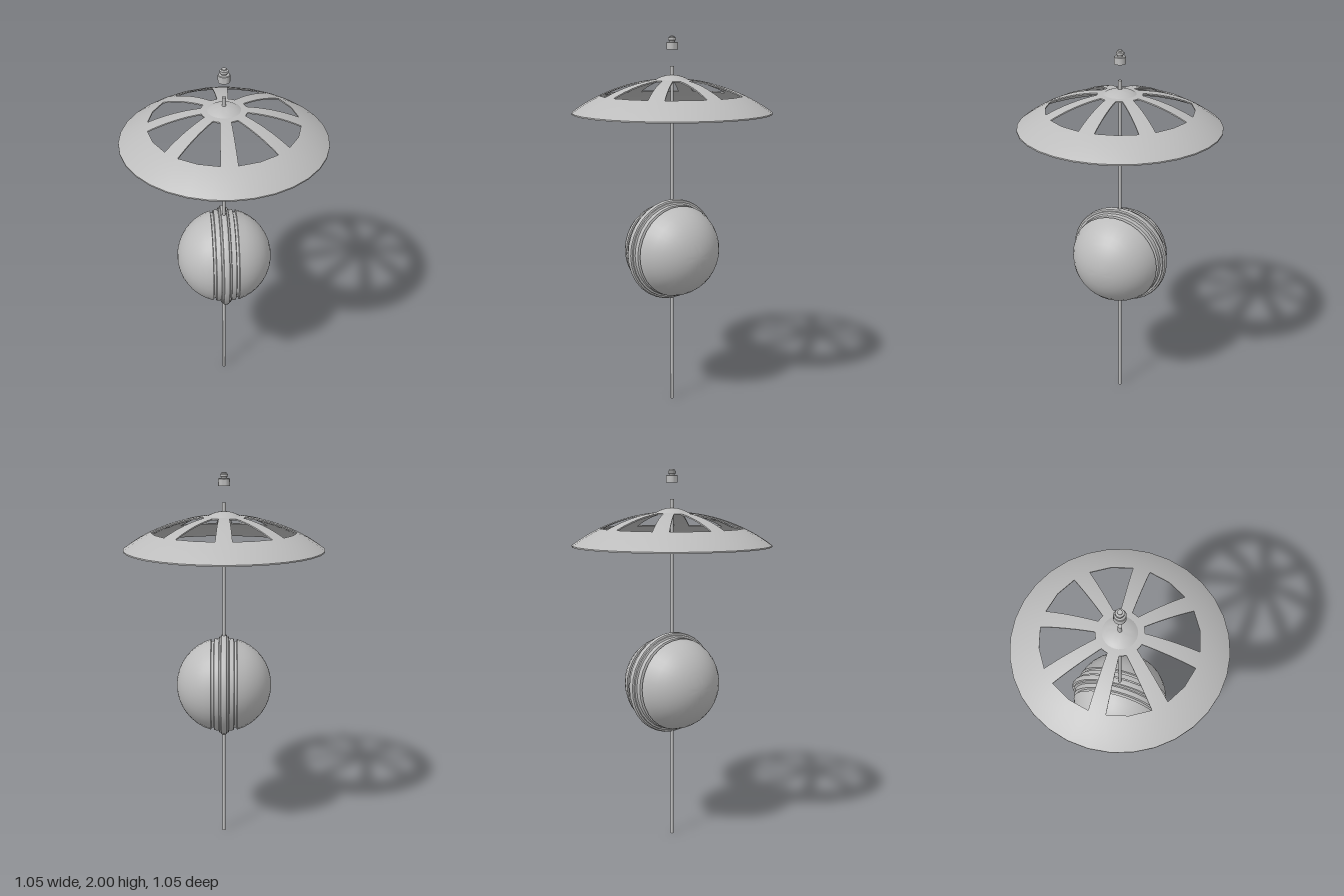
import * as THREE from 'three';
import { toCreasedNormals } from 'three/addons/utils/BufferGeometryUtils.js';

const APEX = 1.78, DOME_R = 0.889, THICK = 0.007;
const WINDOW_IN = 0.116, WINDOW_OUT = 0.38, RIM = 0.527;

// Height of the shallow spherical canopy at radius r
const domeY = (r) => APEX - DOME_R + Math.sqrt(DOME_R * DOME_R - r * r);

// Half angle of a spoke, which widens slightly towards the rim
const spokeAngle = (r) => Math.asin((0.028 + (r - WINDOW_IN) * 0.053) / r);

// Bends a box into a curved canopy panel: x runs around, z outward, y through the shell
function canopyPanel(angleSegs, radiusSegs, r0, r1, angleAt) {
  const geo = new THREE.BoxGeometry(1, 1, 1, angleSegs, 1, radiusSegs);
  const pos = geo.attributes.position;
  const facing = Array.from({ length: pos.count }, (_, i) => geo.attributes.normal.getY(i));
  for (let i = 0; i < pos.count; i++) {
    const r = r0 + (r1 - r0) * (pos.getZ(i) + 0.5);
    const a = angleAt(pos.getX(i) + 0.5, r);
    const y = domeY(r) + (pos.getY(i) - 0.5) * THICK;
    pos.setXYZ(i, r * Math.sin(a), y, r * Math.cos(a));
  }
  geo.computeVertexNormals();
  // Exact dome normals keep the seams between panels invisible
  const n = new THREE.Vector3();
  for (let i = 0; i < pos.count; i++) {
    if (Math.abs(facing[i]) < 0.5) continue;
    n.set(pos.getX(i), domeY(Math.hypot(pos.getX(i), pos.getZ(i))) - APEX + DOME_R, pos.getZ(i));
    n.normalize().multiplyScalar(Math.sign(facing[i]));
    geo.attributes.normal.setXYZ(i, n.x, n.y, n.z);
  }
  return geo;
}

// Turned part from [radius, height] pairs listed from bottom to top
function turned(profile, segments = 32) {
  const pts = profile.map(([r, y]) => new THREE.Vector2(r, y));
  return toCreasedNormals(new THREE.LatheGeometry(pts, segments), 0.6);
}

export function createModel() {
  const model = new THREE.Group();
  model.name = 'lamp';
  const metal = new THREE.MeshStandardMaterial({ color: 0xbcbcbc });
  metal.name = 'grey metal';

  const add = (name, geo, parent = model) => {
    const mesh = new THREE.Mesh(geo, metal);
    mesh.name = name;
    parent.add(mesh);
    return mesh;
  };

  // Canopy: rim and hub joined by eight spokes
  const canopy = new THREE.Group();
  canopy.name = 'canopy';
  model.add(canopy);
  const eighth = Math.PI / 4;
  // Ring vertices slide so that an edge loop meets every spoke side
  const ringAngle = (edge) => (u, r) => {
    const k = Math.round(u * 32), base = Math.floor(k / 4) * eighth;
    const even = (k % 4) * eighth / 4;
    const s = spokeAngle(edge);
    const fitted = [0, s, eighth / 2, eighth - s][k % 4];
    const t = edge === WINDOW_OUT ? (r - edge) / (RIM - edge) : 0;
    return base + fitted + (even - fitted) * t;
  };
  add('rim', canopyPanel(32, 4, WINDOW_OUT, RIM, ringAngle(WINDOW_OUT)), canopy);
  add('hub', canopyPanel(32, 2, 0.005, WINDOW_IN, ringAngle(WINDOW_IN)), canopy);
  for (let i = 0; i < 8; i++) {
    const spoke = canopyPanel(2, 8, WINDOW_IN, WINDOW_OUT,
      (u, r) => i * eighth + (u * 2 - 1) * spokeAngle(r));
    add('spoke', spoke, canopy);
  }

  // Domed cap on the hub
  add('hubCap', turned([[0.085, 1.768], [0.085, 1.775], [0.07, 1.784], [0.05, 1.792],
    [0.025, 1.798], [0, 1.8]]));

  // Central rod and its thicker tip
  add('rod', new THREE.CylinderGeometry(0.008, 0.008, 1.8, 16).translate(0, 0.9, 0));
  add('rodTip', new THREE.CylinderGeometry(0.01, 0.01, 0.05, 16).translate(0, 1.82, 0));

  // Floating stepped finial
  add('finial', turned([[0, 1.93], [0.03, 1.93], [0.03, 1.965], [0.027, 1.968], [0.014, 1.968],
    [0.014, 1.975], [0.021, 1.977], [0.021, 1.989], [0.012, 1.992], [0.012, 1.998], [0, 2]], 24));

  // Globe: two domes with a stepped band, turned about the x axis
  const half = [];
  for (let i = 0; i <= 8; i++) {
    const a = (i / 8) * 1.295;
    half.push([0.256 * Math.sin(a), -0.256 * Math.cos(a)]);
  }
  half.push([0.236, -0.067], [0.236, -0.055], [0.249, -0.052], [0.251, -0.028],
    [0.261, -0.025], [0.262, -0.017], [0.27, -0.014], [0.274, -0.006]);
  const profile = [...half, ...half.map(([r, y]) => [r, -y]).reverse()];
  const globe = add('globe', turned(profile));
  globe.rotation.z = Math.PI / 2;
  globe.position.y = 0.865;

  return model;
}
